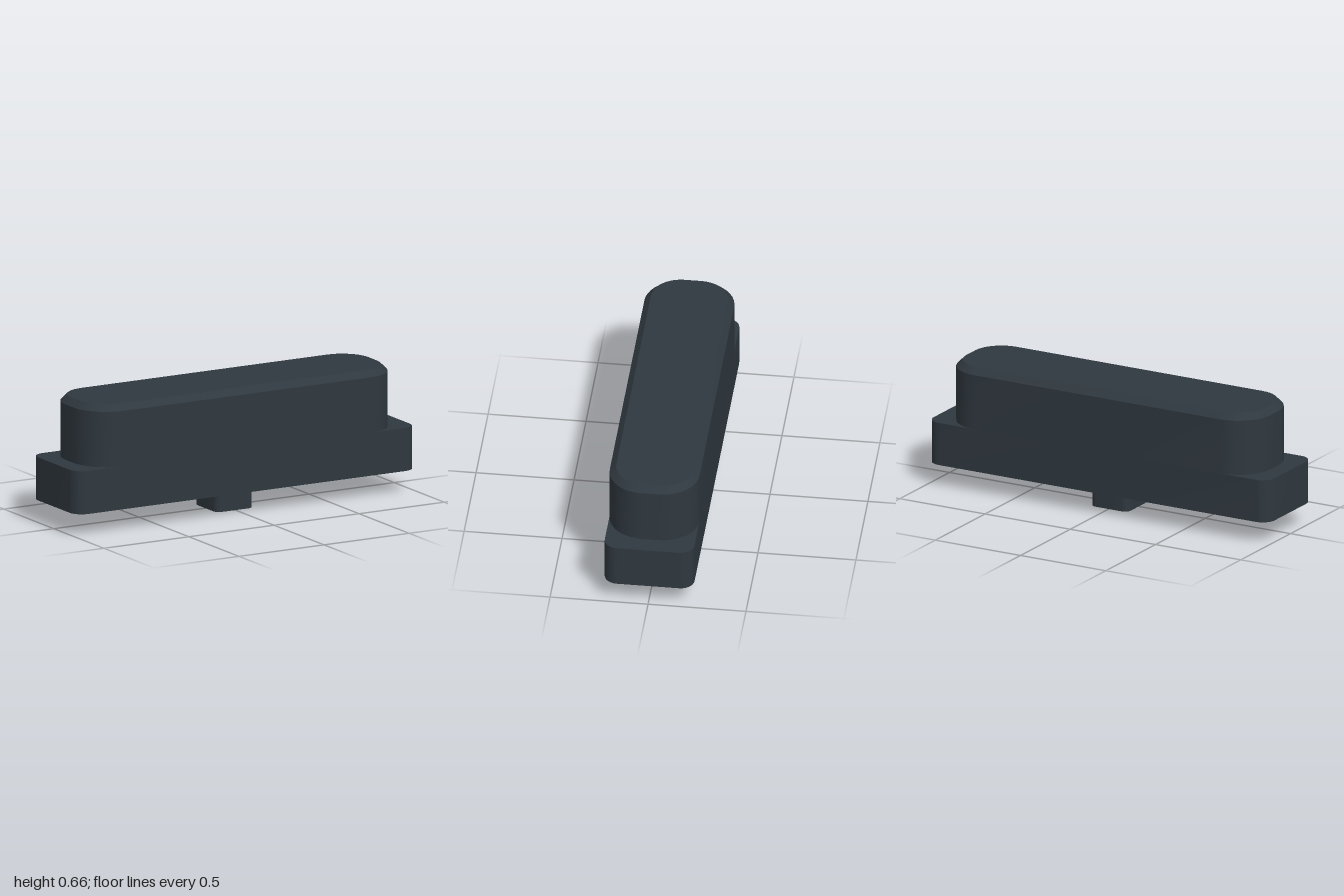
import * as THREE from 'three';
import { toCreasedNormals } from 'three/addons/utils/BufferGeometryUtils.js';

const CORNER_STEPS = 10;

// Rounded rectangle in the xz plane, counter-clockwise seen from above
function ring(y, halfX, halfZ, radius) {
  const points = [];
  const signs = [[1, -1], [-1, -1], [-1, 1], [1, 1]];
  signs.forEach(([sx, sz], corner) => {
    for (let i = 0; i <= CORNER_STEPS; i++) {
      const a = (corner + i / CORNER_STEPS) * Math.PI / 2;
      points.push([
        sx * (halfX - radius) + radius * Math.cos(a),
        y,
        sz * (halfZ - radius) - radius * Math.sin(a),
      ]);
    }
  });
  return points;
}

// Closed solid through stacked rounded rectangles [y, halfX, halfZ, radius]
function loft(sections) {
  const rings = sections.map((s) => ring(...s));
  const count = rings[0].length;
  const top = rings.length - 1;
  const positions = [];
  const triangle = (a, b, c) => positions.push(...a, ...b, ...c);
  for (let i = 0; i < count; i++) {
    const j = (i + 1) % count;
    for (let k = 0; k < top; k++) {
      triangle(rings[k][i], rings[k][j], rings[k + 1][j]);
      triangle(rings[k][i], rings[k + 1][j], rings[k + 1][i]);
    }
    triangle([0, sections[top][0], 0], rings[top][i], rings[top][j]);
    triangle([0, sections[0][0], 0], rings[0][j], rings[0][i]);
  }
  const geometry = new THREE.BufferGeometry();
  geometry.setAttribute('position', new THREE.Float32BufferAttribute(positions, 3));
  return toCreasedNormals(geometry, 0.5);
}

export function createModel() {
  const model = new THREE.Group();
  model.name = 'pushButton';

  const plastic = new THREE.MeshStandardMaterial({ color: 0x2f383f });
  plastic.name = 'dark slate';

  const addPart = (name, sections) => {
    const mesh = new THREE.Mesh(loft(sections), plastic);
    mesh.name = name;
    model.add(mesh);
  };

  // Small peg under the middle
  addPart('stem', [
    [0, 0.11, 0.114, 0.035],
    [0.115, 0.11, 0.114, 0.035],
  ]);

  // Wide flange that sticks out at both ends
  addPart('flange', [
    [0.115, 1, 0.229, 0.07],
    [0.339, 1, 0.229, 0.07],
  ]);

  // Rounded cap with a chamfered top edge
  addPart('cap', [
    [0.339, 0.906, 0.229, 0.185],
    [0.627, 0.906, 0.229, 0.185],
    [0.66, 0.873, 0.196, 0.152],
  ]);

  return model;
}
